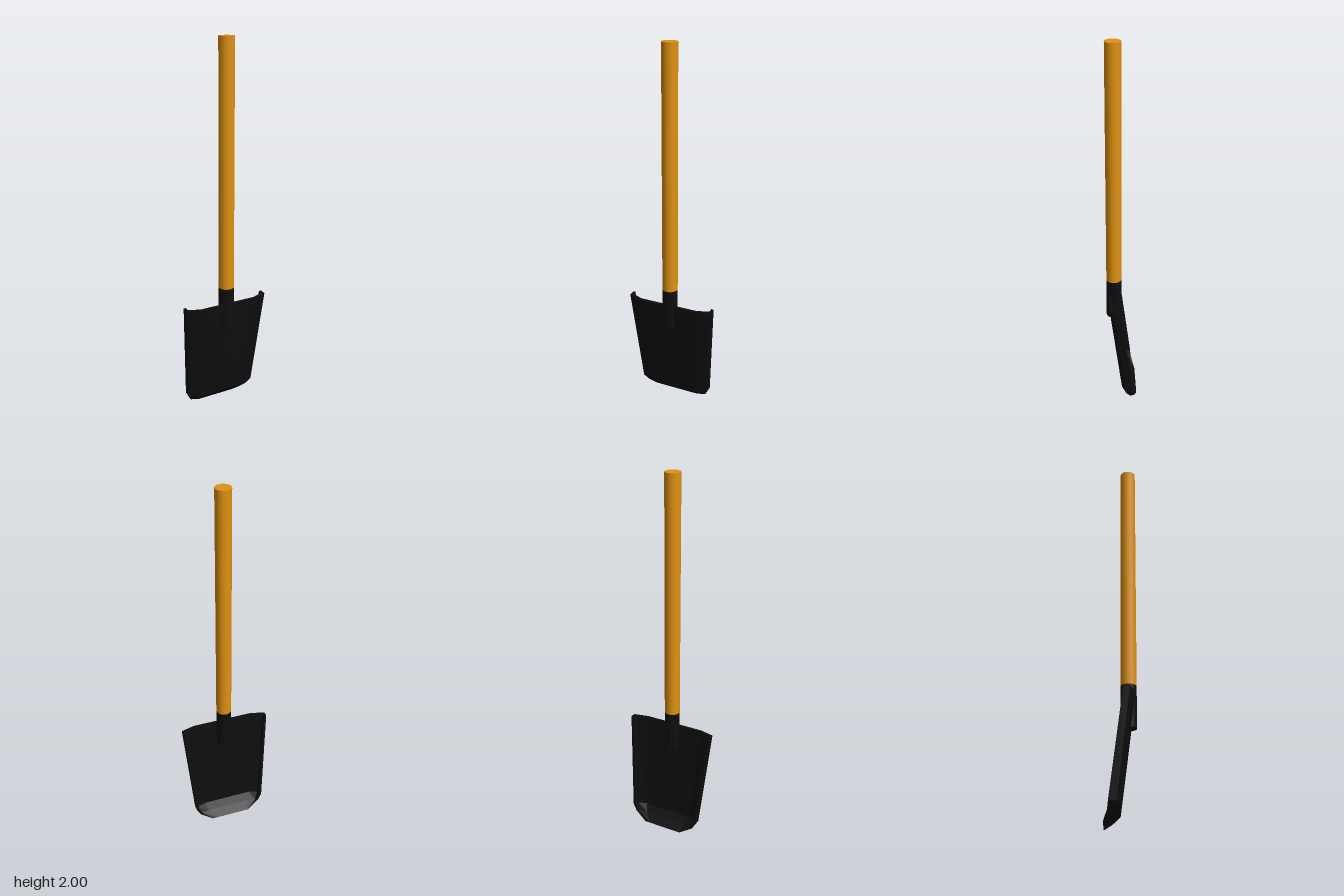
import * as THREE from 'three';

const blackMetal = new THREE.MeshStandardMaterial({ color: 0x0e0e0e });
blackMetal.name = 'black metal';
const wood = new THREE.MeshStandardMaterial({ color: 0xe09212 });
wood.name = 'orange wood';

// Blade rows, top to tip: height, front z, half width, half width of the flat
// middle, setback of the bent side, setback of the rim, wall thickness
const rows = [
  [0.61, 0.067, 0.243, 0.165, 0.024, 0.057, 0.014],
  [0.07, 0.0, 0.2, 0.137, 0.022, 0.06, 0.014],
  [0.035, -0.032, 0.178, 0.12, 0.012, 0.032, 0.012],
  [0, -0.08, 0.11, 0.08, 0, 0.003, 0.003],
];

// One closed U-shaped ring: outer face left to right, inner face right to left
function bladeRing([y, z, w, m, bend, rim, t]) {
  const outer = [[w, rim], [w, bend], [m, 0]];
  const inner = [[w - t, rim], [w - t, bend + t * 0.7], [m, t]];
  const place = (side) => ([x, back]) => [side * x, y + back * 0.15, z - back];
  return [
    ...outer.map(place(-1)), ...outer.map(place(1)).reverse(),
    ...inner.map(place(1)), ...inner.map(place(-1)).reverse(),
  ];
}

function bladeGeometry() {
  const n = 12;
  const index = [];
  const quad = (a, b, c, d) => index.push(a, b, c, a, c, d);
  for (let r = 0; r < rows.length - 1; r++) {
    for (let k = 0; k < n; k++) {
      const a = r * n + k, b = r * n + (k + 1) % n;
      quad(a, a + n, b + n, b);
    }
  }
  // Close the top and bottom edges between the two faces
  const last = (rows.length - 1) * n;
  for (let k = 0; k < 5; k++) {
    quad(k, k + 1, n - 2 - k, n - 1 - k);
    quad(last + n - 1 - k, last + n - 2 - k, last + k + 1, last + k);
  }
  const shared = new THREE.BufferGeometry();
  shared.setAttribute('position', new THREE.Float32BufferAttribute(rows.flatMap(bladeRing).flat(), 3));
  shared.setIndex(index);
  const geometry = shared.toNonIndexed();
  geometry.computeVertexNormals();
  return geometry;
}

// Upright round bar between two heights
function bar(name, bottom, top, material) {
  const mesh = new THREE.Mesh(new THREE.CylinderGeometry(0.041, 0.041, top - bottom, 16), material);
  mesh.name = name;
  mesh.position.set(0, (bottom + top) / 2, 0.039);
  return mesh;
}

export function createModel() {
  const group = new THREE.Group();
  group.name = 'shovel';
  const blade = new THREE.Mesh(bladeGeometry(), blackMetal);
  blade.name = 'blade';
  group.add(
    blade,
    bar('socket', 0.475, 0.7, blackMetal),
    bar('handle', 0.7, 2, wood),
  );
  return group;
}
